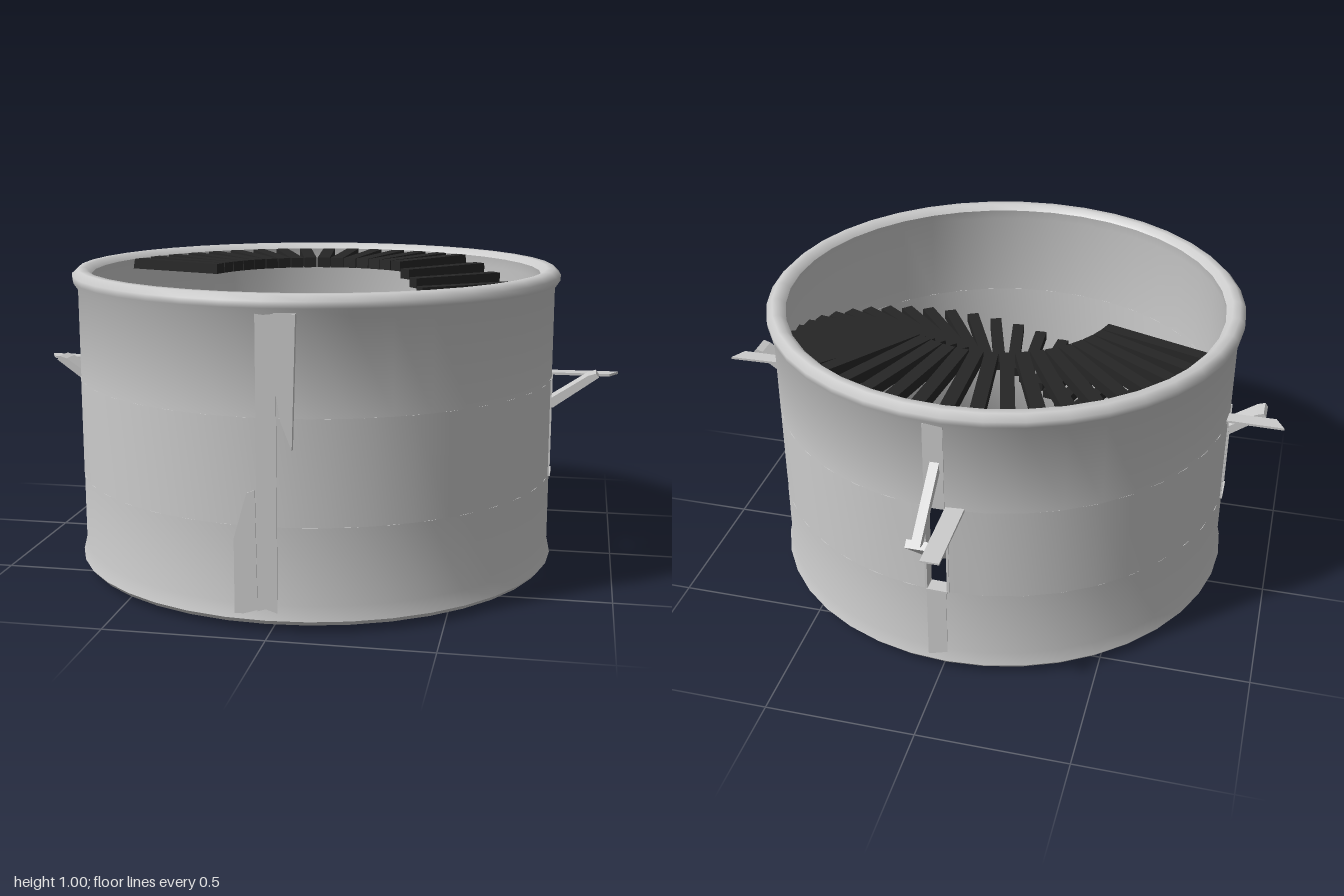
import * as THREE from 'three';
import { toCreasedNormals } from 'three/addons/utils/BufferGeometryUtils.js';

const grey = new THREE.MeshStandardMaterial({ color: 0xcccccc, side: THREE.DoubleSide });
const dark = new THREE.MeshStandardMaterial({ color: 0x262626 });
const OUT = 0.797, IN = 0.757;
const SILL = 0.32, HEAD = 0.645;

function add(parent, name, geometry, material = grey) {
  const mesh = new THREE.Mesh(geometry, material);
  mesh.name = name;
  parent.add(mesh);
  return mesh;
}

// Revolved band; the profile runs up the outside and down the inside
function band(profile, start = 0, length = Math.PI * 2) {
  const pts = profile.map(([r, y]) => new THREE.Vector2(r, y));
  const segments = Math.max(2, Math.round((length / (Math.PI * 2)) * 40));
  return toCreasedNormals(new THREE.LatheGeometry(pts, segments, start, length), 0.9);
}

// Flat plate: an outline in the (outward, up) plane, thickened sideways
function plate(outline, width) {
  const shape = new THREE.Shape(outline.map(([a, b]) => new THREE.Vector2(a, b)));
  return new THREE.ExtrudeGeometry(shape, { depth: width, bevelEnabled: false });
}

export function createModel() {
  const model = new THREE.Group();
  model.name = 'roundTower';
  const tower = new THREE.Group();
  tower.name = 'tower';
  tower.position.set(-0.015, 0, 0.125);
  model.add(tower);

  // Wall below and above the windows, with flared foot and rounded rim
  add(tower, 'lowerWall', band([
    [IN, SILL], [IN, 0.06], [0.775, 0.025], [0.795, 0.02], [0.808, 0.035], [OUT, 0.08], [OUT, SILL], [IN, SILL],
  ]));
  add(tower, 'upperWall', band([
    [IN, HEAD], [OUT, HEAD], [OUT, 0.94], [0.814, 0.965], [0.815, 0.985], [0.795, 1.004],
    [0.77, 1.004], [0.75, 0.985], [IN, 0.95], [IN, HEAD],
  ]));

  // Wall between the windows (angles measured from the front)
  const windows = [
    { name: 'leftWindow', angle: Math.PI / 2, half: 0.063 },
    { name: 'backWindow', angle: Math.PI - 0.035, half: 0.046 },
    { name: 'rightWindow', angle: Math.PI * 1.5, half: 0.063 },
  ];
  windows.forEach((w, i) => {
    const next = windows[(i + 1) % windows.length];
    const start = w.angle + w.half;
    const end = next.angle - next.half + (i === 2 ? Math.PI * 2 : 0);
    add(tower, 'middleWall', band([[OUT, SILL], [OUT, HEAD], [IN, HEAD], [IN, SILL], [OUT, SILL]], start, end - start));
  });

  // Window linings
  for (const w of windows) {
    const frame = new THREE.Group();
    frame.name = w.name;
    frame.rotation.y = w.angle;
    tower.add(frame);
    const half = w.half * OUT;
    for (const s of [-1, 1]) {
      add(frame, 'jamb', new THREE.BoxGeometry(0.008, HEAD - SILL, 0.045))
        .position.set(s * half, (HEAD + SILL) / 2, 0.777);
    }
    add(frame, 'sill', new THREE.BoxGeometry(half * 2, 0.008, 0.05)).position.set(0, SILL, 0.778);
  }

  // Side canopies: a flat board and a sloping brace
  for (const s of [-1, 1]) {
    const canopy = new THREE.Group();
    canopy.name = s > 0 ? 'leftCanopy' : 'rightCanopy';
    canopy.scale.x = s;
    canopy.position.x = s > 0 ? 0.015 : -0.015 + 0.03;
    model.add(canopy);
    const board = new THREE.Shape([[0.77, 0.1], [0.97, 0.1], [1.0, 0.045], [0.77, 0.05]].map(p => new THREE.Vector2(...p)));
    const boardGeo = new THREE.ExtrudeGeometry(board, { depth: 0.008, bevelEnabled: false });
    boardGeo.rotateX(Math.PI / 2);
    add(canopy, 'board', boardGeo).position.y = 0.654;
    add(canopy, 'brace', plate([[0.77, 0.55], [0.79, 0.55], [0.935, 0.655], [0.925, 0.668], [0.9, 0.66], [0.77, 0.573]], 0.075))
      .position.z = 0.1;
    canopy.position.x = 0;
  }

  // Back canopy: outline runs outward along -z
  const back = new THREE.Group();
  back.name = 'backCanopy';
  back.rotation.y = Math.PI / 2;
  model.add(back);
  add(back, 'board', plate([[0.65, 0.642], [0.945, 0.645], [0.945, 0.651], [0.65, 0.654]], 0.06)).position.z = -0.08;
  add(back, 'lowerBrace', plate([[0.66, 0.455], [0.68, 0.46], [0.87, 0.63], [0.85, 0.648], [0.66, 0.49]], 0.07)).position.z = -0.02;
  add(back, 'upperBrace', plate([[0.65, 0.825], [0.67, 0.82], [0.89, 0.655], [0.86, 0.645], [0.65, 0.795]], 0.03)).position.z = -0.005;

  // Back seam strips, above and below the window
  for (const [y0, y1] of [[0.05, SILL], [HEAD, 0.95]]) {
    add(model, 'backStrip', new THREE.BoxGeometry(0.065, y1 - y0, 0.01)).position.set(0.015, (y0 + y1) / 2, -0.67);
  }

  // Front seam strip and its torn side pieces
  add(model, 'frontStrip', new THREE.BoxGeometry(0.06, 0.91, 0.012)).position.set(-0.01, 0.51, 0.919);
  add(model, 'frontUpperFlap', plate([[0.015, 0.95], [0.015, 0.76], [0.035, 0.64], [0.068, 0.555], [0.08, 0.95]], 0.02))
    .position.z = 0.915;
  add(model, 'frontLowerFlap', plate([[-0.11, 0.05], [-0.04, 0.05], [-0.045, 0.43], [-0.07, 0.42], [-0.11, 0.28]], 0.012))
    .position.z = 0.912;

  // Spiral stair rising from the right side past the front, then a level walkway
  const stairs = new THREE.Group();
  stairs.name = 'stairs';
  tower.add(stairs);
  const count = 52, spin = 255;
  for (let i = 0; i < count; i++) {
    const turn = (i * 362) / (count - 1);
    const step = new THREE.Group();
    step.name = turn < spin ? 'stairStep' : 'walkwayPlank';
    step.rotation.y = THREE.MathUtils.degToRad(-111 + turn);
    stairs.add(step);
    add(step, 'plank', new THREE.BoxGeometry(0.045, 0.035, 0.37), dark)
      .position.set(0, 0.0175 + 0.95 * Math.min(1, turn / spin), 0.575);
  }
  return model;
}
